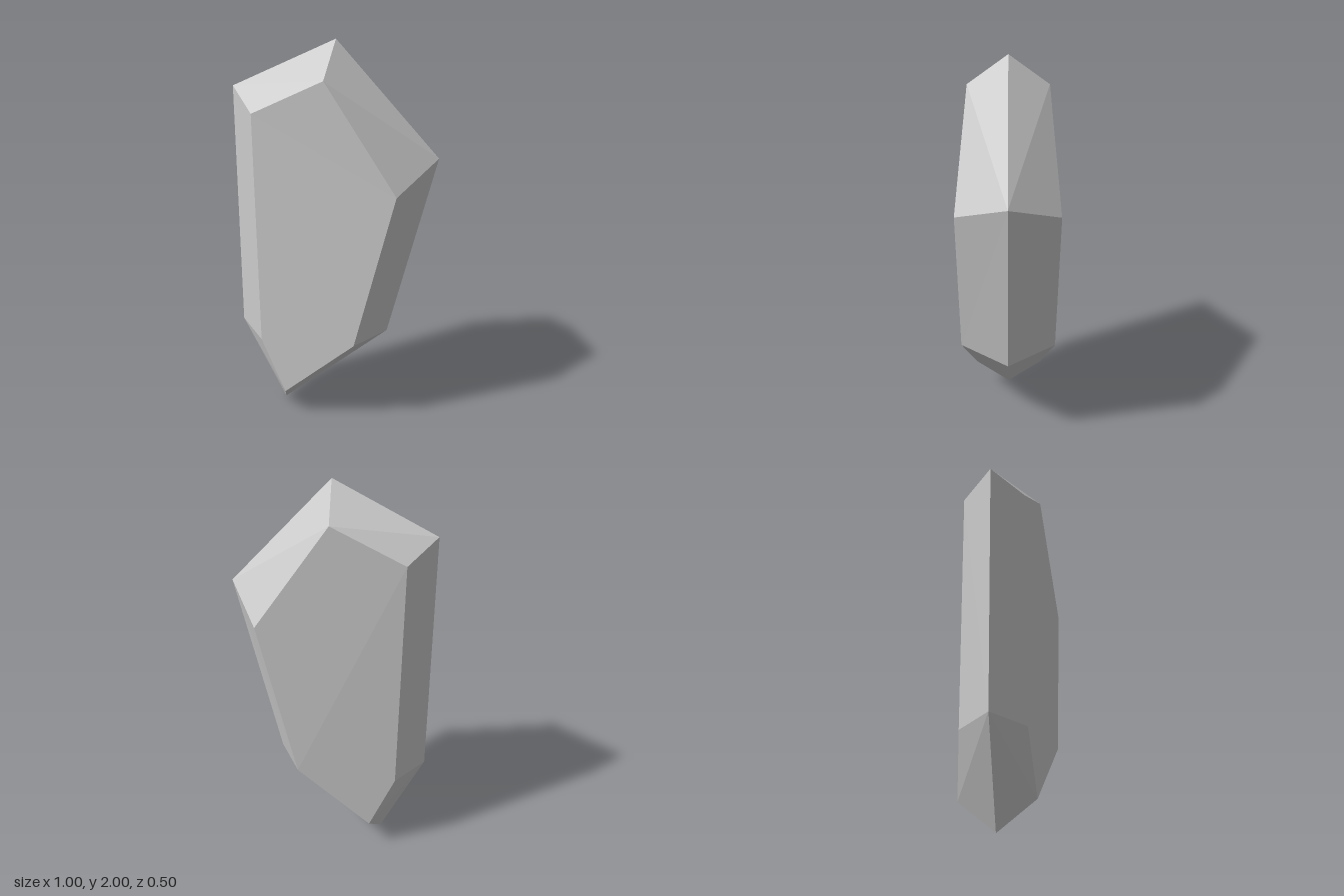
import * as THREE from 'three';

// Crystal rim in the z = 0 plane, clockwise from the tip
const rim = [[0, 2], [0.5, 1.44], [0.27, 0.47], [-0.28, 0], [-0.5, 0.48], [-0.5, 1.76]]
  .map(([x, y]) => [x, y, 0]);

// Corners of the large front facet, in the same order
const facet = [
  [-0.03, 1.85, 0.195], [0.32, 1.325, 0.249], [0.125, 0.505, 0.243],
  [-0.245, 0.155, 0.18], [-0.37, 0.45, 0.156], [-0.38, 1.67, 0.153],
];

// Half of the crystal: bevels around the rim plus the large facet
function halfGeometry(side) {
  const positions = [];
  const tri = (...corners) => {
    if (side < 0) corners.reverse();
    for (const [x, y, z] of corners) positions.push(x, y, z * side);
  };

  // Bevels, each split along its ridge
  for (let i = 0; i < 6; i++) {
    const j = (i + 1) % 6;
    const a = rim[i], b = rim[j], c = facet[j], d = facet[i];
    if (i === 0 || i === 3) {
      tri(a, d, b);
      tri(b, d, c);
    } else {
      tri(a, c, b);
      tri(a, d, c);
    }
  }

  // Large facet, very slightly folded
  for (const [p, q, r] of [[5, 1, 0], [5, 2, 1], [5, 4, 2], [4, 3, 2]]) {
    tri(facet[p], facet[q], facet[r]);
  }

  const geometry = new THREE.BufferGeometry();
  geometry.setAttribute('position', new THREE.Float32BufferAttribute(positions, 3));
  geometry.computeVertexNormals();
  return geometry;
}

export function createModel() {
  const group = new THREE.Group();
  group.name = 'crystalShard';
  const material = new THREE.MeshStandardMaterial({ color: 0xcccccc, flatShading: true });
  for (const [name, side] of [['frontHalf', 1], ['backHalf', -1]]) {
    const mesh = new THREE.Mesh(halfGeometry(side), material);
    mesh.name = name;
    group.add(mesh);
  }
  return group;
}
